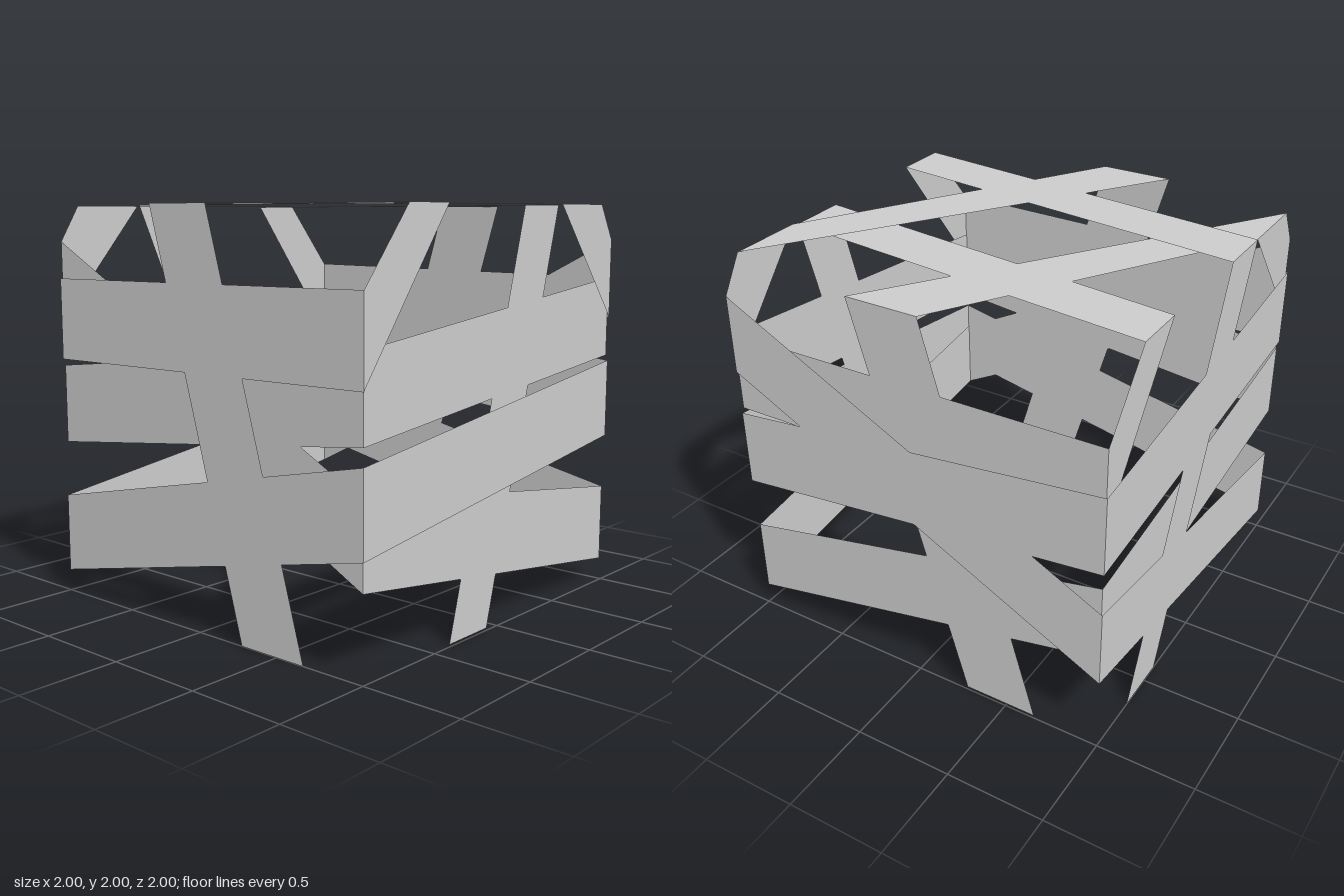
import * as THREE from 'three';

// Folds of one ribbon wound around a box: [upper edge point, lower edge point]
const folds = [
  [[-1, 0, 0.28], [-1, 0, 0.66]],          // foot on the right side
  [[-1, 2, -0.3], [-1, 2, 0.08]],          // over the top
  [[0.89, 2, 1], [0.5, 2, 1]],             // down the front corner
  [[1, 1.82, 1], [1, 1.42, 1]],            // spiral round the four sides
  [[1, 0.79, -1], [1, 0.39, -1]],
  [[-1, 0.51, -1], [-1, 0.11, -1]],
  [[-1, 0.93, 1], [-1, 0.53, 1]],
  [[1, 1.19, 1], [1, 0.79, 1]],
  [[1, 1.41, -1], [1, 1.01, -1]],
  [[-1, 1.63, -1], [-1, 1.22, -1]],
  [[-1, 1.65, 1], [-1, 1.24, 1]],
  [[-0.71, 2, 1], [-0.43, 2, 1]],          // up and over the top again
  [[-0.48, 2, -1], [-0.18, 2, -1]],
];

// Flat panels between consecutive folds
function ribbon(name, endFold, material) {
  const path = [...folds, endFold];
  const positions = [];
  for (let i = 0; i < path.length - 1; i++) {
    const [a, b] = path[i];
    const [d, c] = path[i + 1];
    for (const p of [a, b, c, a, c, d]) positions.push(...p);
  }
  const geometry = new THREE.BufferGeometry();
  geometry.setAttribute('position', new THREE.Float32BufferAttribute(positions, 3));
  geometry.computeVertexNormals();
  const mesh = new THREE.Mesh(geometry, material);
  mesh.name = name;
  return mesh;
}

export function createModel() {
  const group = new THREE.Group();
  group.name = 'wovenRibbonBox';
  const material = new THREE.MeshStandardMaterial({
    color: 0xcccccc, flatShading: true, side: THREE.DoubleSide,
  });

  // Outer ribbon, ending in a steep foot at the back
  const outer = ribbon('outerRibbon', [[0.39, 0, -1], [0.69, 0, -1]], material);

  // Inner ribbon: the same winding turned half round, a touch smaller
  const inner = ribbon('innerRibbon', [[0.08, 0, -1], [0.38, 0, -1]], material);
  inner.rotation.y = Math.PI;
  inner.scale.setScalar(0.993);
  inner.position.y = 0.007;

  group.add(outer, inner);
  return group;
}
